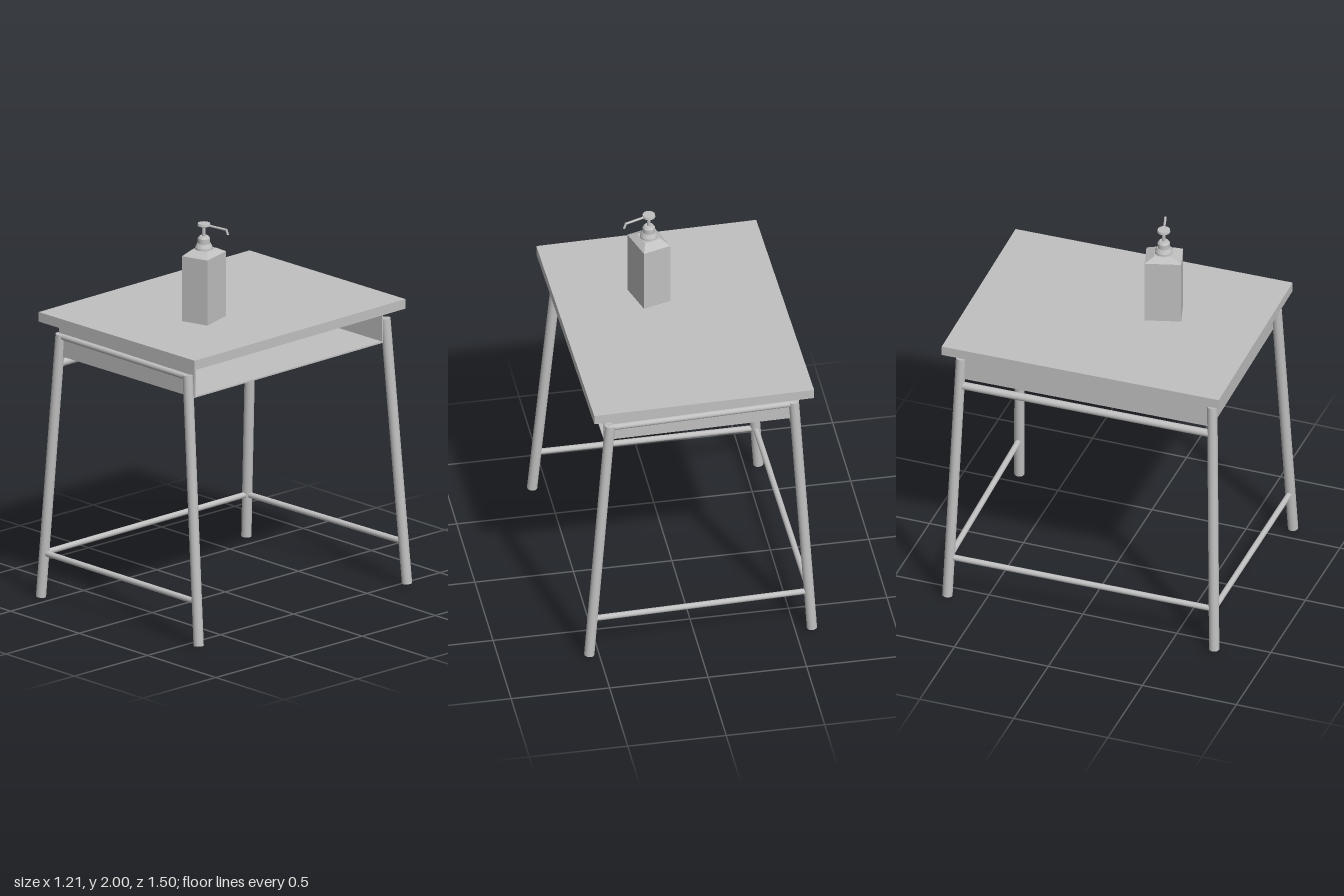
import * as THREE from 'three';

export function createModel() {
  const model = new THREE.Group();
  const grey = new THREE.MeshStandardMaterial({ color: 0xc0c0c0 });
  grey.name = 'plain grey';

  const add = (parent, name, geometry, x = 0, y = 0, z = 0) => {
    const mesh = new THREE.Mesh(geometry, grey);
    mesh.name = name;
    mesh.position.set(x, y, z);
    parent.add(mesh);
    return mesh;
  };
  const group = (name, x, z, turn) => {
    const g = new THREE.Group();
    g.name = name;
    g.position.set(x, 0, z);
    g.rotation.y = turn;
    model.add(g);
    return g;
  };

  // Straight round bar between two points
  const up = new THREE.Vector3(0, 1, 0);
  const bar = (parent, name, a, b, r) => {
    const d = b.clone().sub(a);
    const mid = a.clone().lerp(b, 0.5);
    const mesh = add(parent, name, new THREE.CylinderGeometry(r, r, d.length(), 20), mid.x, mid.y, mid.z);
    mesh.quaternion.setFromUnitVectors(up, d.normalize());
  };

  // Tabletop, very slightly turned on its frame
  const top = group('tabletop', -0.018, 0.005, 0.017);
  add(top, 'tabletopBoard', new THREE.BoxGeometry(1.12, 0.05, 1.465), 0, 1.475, 0);

  // Storage tray under the top, open on the left side
  const tray = group('storageTray', -0.012, 0.018, 0.017);
  const W = 0.975, D = 1.31, T = 0.008;
  add(tray, 'trayFloor', new THREE.BoxGeometry(W, T, D), 0, 1.28, 0);
  add(tray, 'trayFront', new THREE.BoxGeometry(W, 0.174, T), 0, 1.363, D / 2 - T / 2);
  add(tray, 'trayBack', new THREE.BoxGeometry(W, 0.174, T), 0, 1.363, -D / 2 + T / 2);
  add(tray, 'traySide', new THREE.BoxGeometry(T, 0.174, D), -W / 2 + T / 2, 1.363, 0);

  // Splayed legs, each as foot and head points
  const v = (x, y, z) => new THREE.Vector3(x, y, z);
  const legs = {
    frontLeft: [v(0.577, 0.012, 0.722), v(0.453, 1.392, 0.68)],
    frontRight: [v(-0.572, 0.005, 0.725), v(-0.477, 1.392, 0.68)],
    backLeft: [v(0.553, 0.02, -0.725), v(0.44, 1.392, -0.683)],
    backRight: [v(-0.584, 0.012, -0.69), v(-0.5, 1.392, -0.648)],
  };
  for (const [key, [foot, head]] of Object.entries(legs)) bar(model, key + 'Leg', foot, head, 0.026);

  // Rails joining two legs at a given height
  const at = (key, y) => {
    const [a, b] = legs[key];
    return a.clone().lerp(b, (y - a.y) / (b.y - a.y));
  };
  const rail = (name, p, q, y, r) => bar(model, name, at(p, y), at(q, y), r);
  rail('frontTopRail', 'frontLeft', 'frontRight', 1.38, 0.016);
  rail('backTopRail', 'backLeft', 'backRight', 1.38, 0.016);
  rail('sideTopRail', 'frontRight', 'backRight', 1.235, 0.02);
  rail('frontFootRail', 'frontLeft', 'frontRight', 0.235, 0.015);
  rail('backFootRail', 'backLeft', 'backRight', 0.235, 0.015);
  rail('sideFootRail', 'frontRight', 'backRight', 0.235, 0.015);

  // Pump bottle
  const bottle = group('pumpBottle', 0.077, 0.218, 0.29);
  add(bottle, 'bottleBody', new THREE.BoxGeometry(0.147, 0.34, 0.183), 0, 1.67, 0);
  const shoulder = new THREE.BoxGeometry(0.147, 0.026, 0.183);
  const p = shoulder.attributes.position;
  for (let i = 0; i < p.count; i++) {
    if (p.getY(i) > 0) p.setXYZ(i, p.getX(i) * 0.6, p.getY(i), p.getZ(i) * 0.5);
  }
  const flat = shoulder.toNonIndexed();
  flat.computeVertexNormals();
  add(bottle, 'bottleShoulder', flat, 0, 1.853, 0);

  // Stacked pump rings: name, bottom radius, top radius, bottom y, top y
  const rings = [
    ['neckRing', 0.046, 0.044, 1.852, 1.876],
    ['collarSlope', 0.044, 0.034, 1.876, 1.896],
    ['cap', 0.031, 0.031, 1.896, 1.922],
    ['capSlope', 0.031, 0.022, 1.922, 1.934],
    ['pumpStem', 0.009, 0.009, 1.934, 1.985],
    ['pumpHeadUnderside', 0.014, 0.033, 1.978, 1.988],
    ['pumpHead', 0.033, 0.031, 1.988, 2.0],
  ];
  for (const [name, r0, r1, y0, y1] of rings) {
    add(bottle, name, new THREE.CylinderGeometry(r1, r0, y1 - y0, 24), 0, (y0 + y1) / 2, 0);
  }

  // Bent spout with a drooping tip
  bar(bottle, 'spout', v(0.01, 1.992, 0), v(0.132, 1.985, 0), 0.006);
  bar(bottle, 'spoutTip', v(0.128, 1.988, 0), v(0.139, 1.96, 0), 0.006);

  return model;
}
